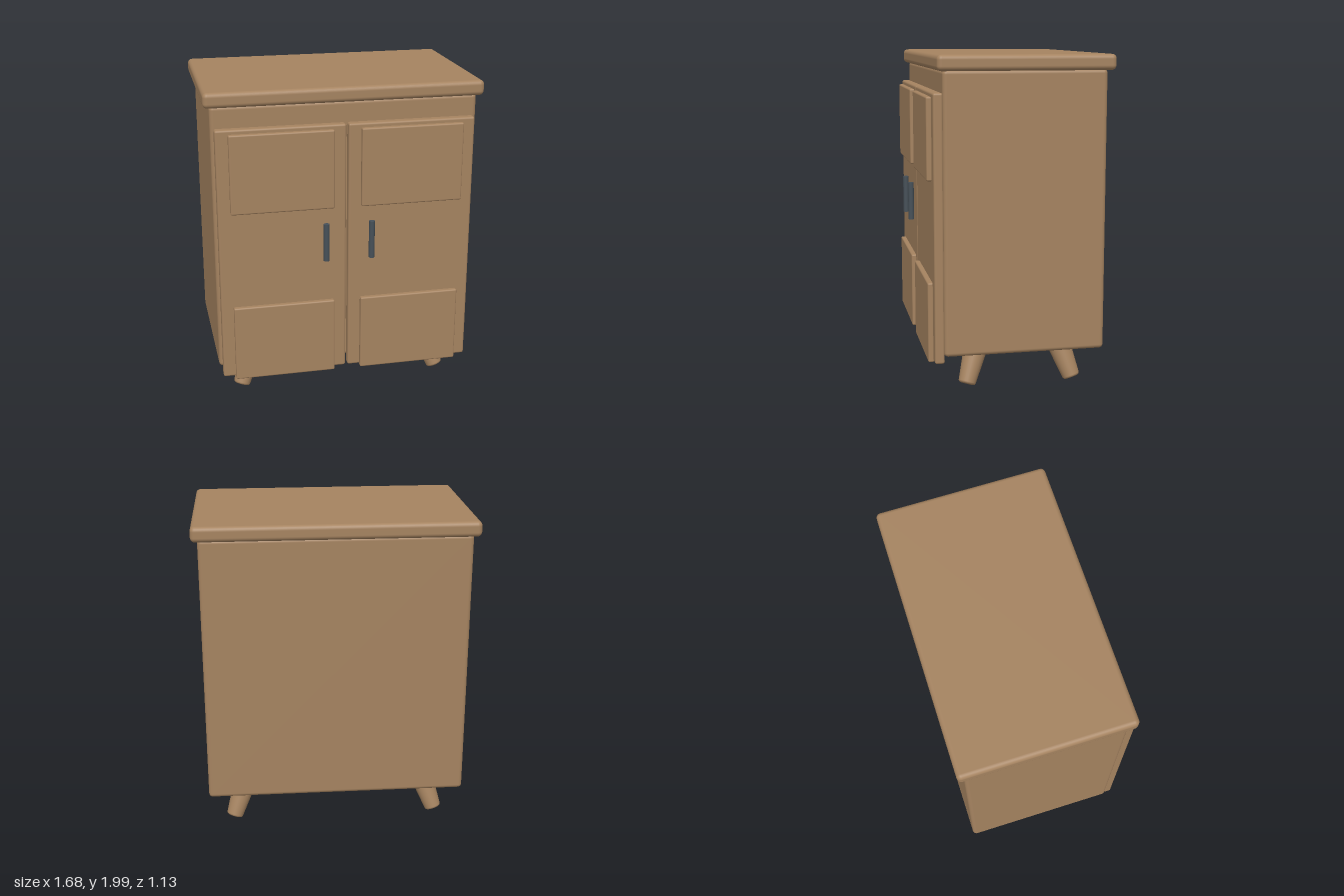
import * as THREE from 'three';
import { RoundedBoxGeometry } from 'three/addons/geometries/RoundedBoxGeometry.js';

export function createModel() {
  const model = new THREE.Group();
  model.name = 'cabinet';
  const wood = new THREE.MeshStandardMaterial({ name: 'wood', color: 0xa58360 });
  const metal = new THREE.MeshStandardMaterial({ name: 'darkMetal', color: 0x465058 });

  const add = (name, geometry, material, parent = model) => {
    const mesh = new THREE.Mesh(geometry, material);
    mesh.name = name;
    parent.add(mesh);
    return mesh;
  };

  // Rounded slab given by its limits on each axis
  const slab = (name, [x0, x1], [y0, y1], [z0, z1], radius, parent) => {
    const geometry = new RoundedBoxGeometry(x1 - x0, y1 - y0, z1 - z0, 4, radius);
    const mesh = add(name, geometry, wood, parent);
    mesh.position.set((x0 + x1) / 2, (y0 + y1) / 2, (z0 + z1) / 2);
  };

  // Carcass and overhanging top
  slab('body', [-0.805, 0.805], [0.245, 1.915], [-0.525, 0.44], 0.025);
  slab('top', [-0.842, 0.842], [1.908, 2], [-0.567, 0.475], 0.028);

  // Pair of doors, each with two raised panels and a bar handle
  for (const side of [-1, 1]) {
    const door = new THREE.Group();
    door.name = side > 0 ? 'leftDoor' : 'rightDoor';
    door.position.x = side * 0.395 - 0.002;
    model.add(door);
    slab('doorBoard', [-0.388, 0.388], [0.2, 1.785], [0.435, 0.493], 0.013, door);
    slab('upperPanel', [-0.313, 0.313], [1.275, 1.76], [0.487, 0.523], 0.01, door);
    slab('lowerPanel', [-0.313, 0.313], [0.19, 0.673], [0.487, 0.523], 0.01, door);
    const handle = add('handle', new THREE.CylinderGeometry(0.018, 0.018, 0.235, 20), metal, door);
    handle.position.set(-side * 0.255, 1.072, 0.548);
  }

  // Splayed, tapered legs with softened ends, profile running bottom to top
  const length = 0.25;
  const profile = [
    [0, 0], [0.042, 0], [0.049, 0.004], [0.053, 0.012],
    [0.074, length - 0.012], [0.071, length - 0.004], [0.064, length], [0, length],
  ].map(([r, y]) => new THREE.Vector2(r, y));
  const legGeometry = new THREE.LatheGeometry(profile, 28);
  const up = new THREE.Vector3(0, 1, 0);
  for (const sx of [-1, 1]) {
    for (const sz of [-1, 1]) {
      const foot = new THREE.Vector3(sx * 0.653, 0.026, -0.043 + sz * 0.328);
      const hip = new THREE.Vector3(sx * 0.573, 0.25, -0.043 + sz * 0.252);
      const leg = add(`${sz > 0 ? 'front' : 'back'}${sx > 0 ? 'Left' : 'Right'}Leg`, legGeometry, wood);
      leg.position.copy(foot);
      leg.quaternion.setFromUnitVectors(up, hip.sub(foot).normalize());
    }
  }
  return model;
}
